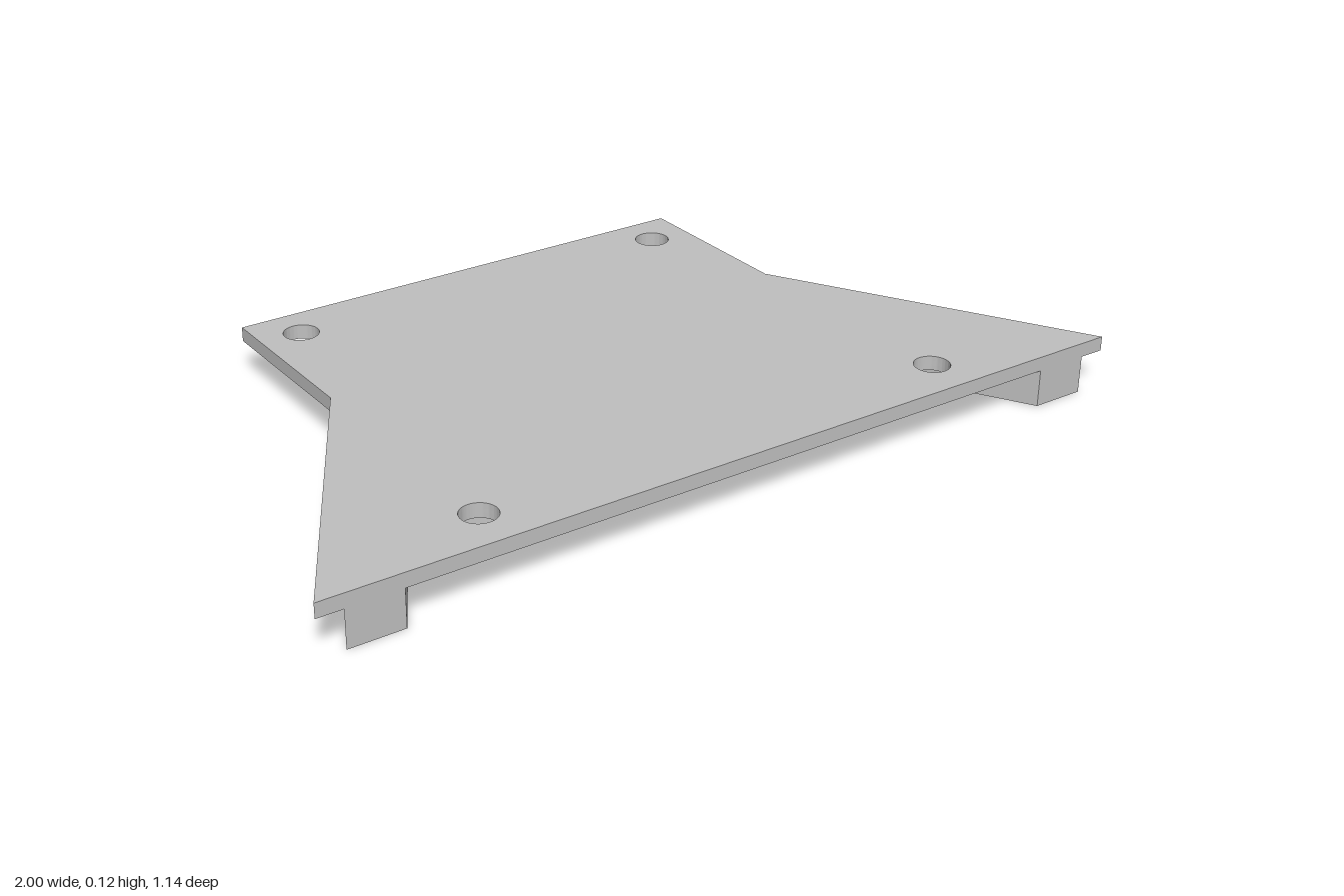
import * as THREE from 'three';
import { toCreasedNormals } from 'three/addons/utils/BufferGeometryUtils.js';

const TOP = 0.122, RECESS = 0.1, UNDER = 0.088, RING_BOTTOM = 0.036;
const RING_Z = 0.025;

// Extrudes a plan drawn in (x, z) between two heights
function slab(shape, bottom, top) {
  const geo = new THREE.ExtrudeGeometry(shape, {
    depth: top - bottom, bevelEnabled: false, curveSegments: 48,
  });
  geo.rotateX(Math.PI / 2);
  geo.translate(0, top, 0);
  return toCreasedNormals(geo, 0.5);
}

function polygon(points) {
  return new THREE.Shape(points.map(([x, z]) => new THREE.Vector2(x, z)));
}

function circle(x, z, r) {
  return new THREE.Path().absarc(x, z, r, 0, Math.PI * 2, true);
}

// Plate outline with the four screw holes
function plateShape() {
  const half = [[0.59, -0.57], [0.59, -0.14], [1, 0.57]];
  const mirrored = half.map(([x, z]) => [-x, z]).reverse();
  const shape = polygon([...half, ...mirrored]);
  for (const s of [-1, 1]) {
    shape.holes.push(circle(s * 0.49, -0.47, 0.041), circle(s * 0.585, 0.46, 0.041));
  }
  return shape;
}

export function createModel() {
  const group = new THREE.Group();
  const grey = new THREE.MeshStandardMaterial({ color: 0xc0c0c0 });
  grey.name = 'grey';
  const add = (name, geo) => {
    const mesh = new THREE.Mesh(geo, grey);
    mesh.name = name;
    group.add(mesh);
  };

  // Plate: solid upper layer, lower layer opened by a shallow round recess
  add('plateTop', slab(plateShape(), RECESS, TOP));
  const lower = plateShape();
  lower.holes.push(circle(0, RING_Z, 0.5));
  add('plateRecessLayer', slab(lower, UNDER, RECESS));

  // Half-round wall around the back of the recess
  const arc = new THREE.Shape();
  arc.absarc(0, RING_Z, 0.54, Math.PI, Math.PI * 2, false);
  arc.absarc(0, RING_Z, 0.5, Math.PI * 2, Math.PI, true);
  arc.closePath();
  add('halfRing', slab(arc, RING_BOTTOM, UNDER));

  // Slanted rails under both flared edges
  const rail = [[0.58, 0.17], [0.58, 0.028], [0.628, 0.028], [0.94, 0.57], [0.812, 0.57]];
  add('leftRail', slab(polygon(rail), 0, UNDER));
  add('rightRail', slab(polygon(rail.map(([x, z]) => [-x, z])), 0, UNDER));

  return group;
}
